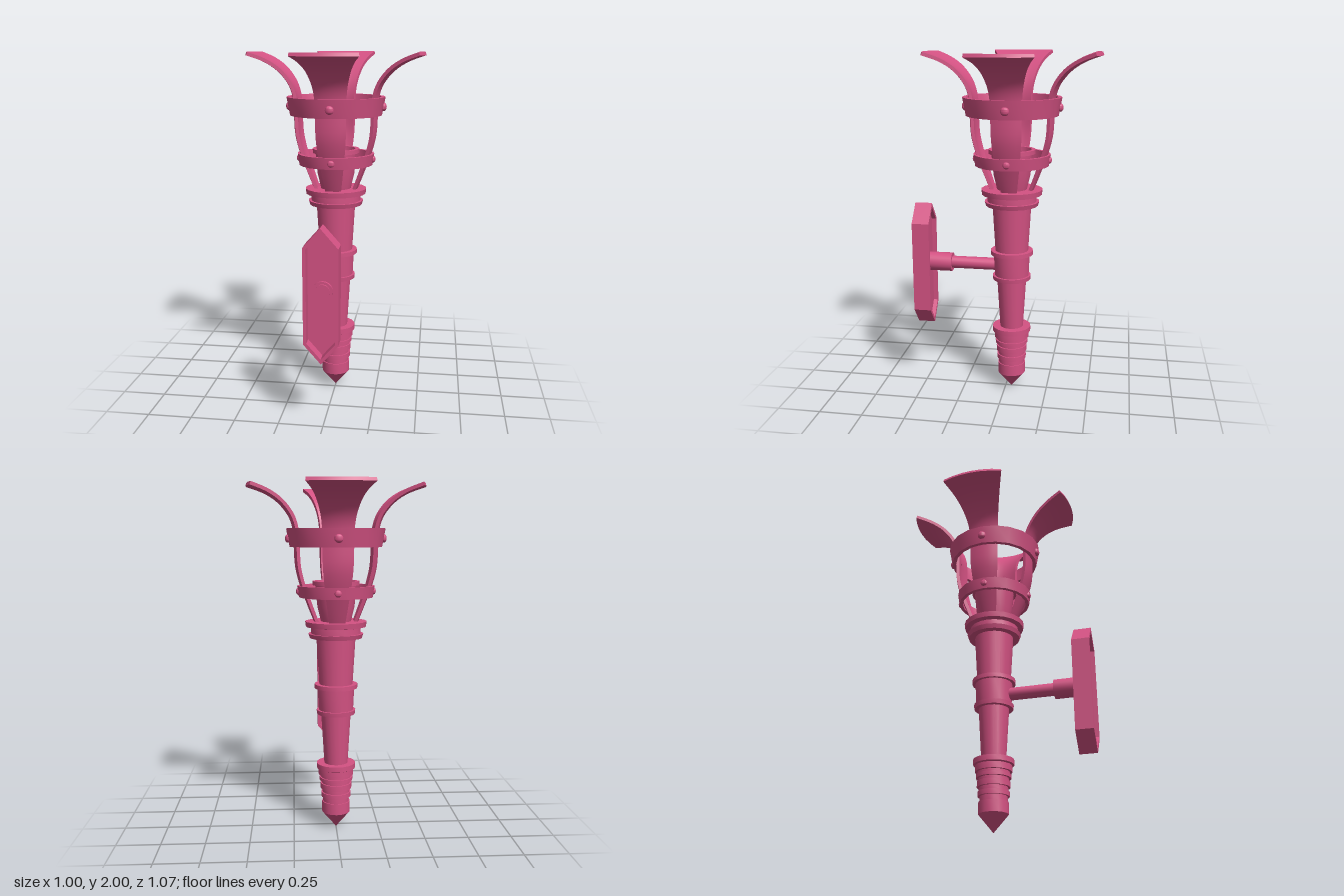
import * as THREE from 'three';
import { toCreasedNormals } from 'three/addons/utils/BufferGeometryUtils.js';

const material = new THREE.MeshStandardMaterial({ color: 0xd45283 });
const SIDES = 20;

function add(parent, name, geometry, x = 0, y = 0, z = 0) {
  const mesh = new THREE.Mesh(toCreasedNormals(geometry, 0.55), material);
  mesh.name = name;
  mesh.position.set(x, y, z);
  parent.add(mesh);
  return mesh;
}

// Turned part from [radius, height] pairs, listed bottom to top along the outside
function turned(points) {
  return new THREE.LatheGeometry(points.map(([r, y]) => new THREE.Vector2(r, y)), SIDES);
}

// Band around the axis with a rectangular, slightly leaning section
function band(rBottom, rTop, y0, y1, t) {
  return turned([[rBottom - t, y0], [rBottom, y0], [rTop, y1], [rTop - t, y1], [rBottom - t, y0]]);
}

// Cylinder lying along z
function rod(radius, z0, z1) {
  return new THREE.CylinderGeometry(radius, radius, z1 - z0, SIDES)
    .rotateX(Math.PI / 2).translate(0, 0, (z0 + z1) / 2);
}

// Low domed rivet head facing +z
function rivet(radius, height) {
  return new THREE.SphereGeometry(radius, 12, 8).scale(1, 1, height / radius);
}

// Flared petal: a box bent around the axis and along a side profile
function petalGeometry() {
  const profile = new THREE.CatmullRomCurve3([
    [0.112, 1.2], [0.133, 1.25], [0.176, 1.36], [0.205, 1.44], [0.23, 1.54], [0.237, 1.65],
    [0.241, 1.74], [0.261, 1.81], [0.297, 1.865], [0.345, 1.911], [0.412, 1.95], [0.499, 1.981],
  ].map(([r, y]) => new THREE.Vector3(r, y, 0)));
  const halfAngle = 0.365, thickness = 0.019;
  const geometry = new THREE.BoxGeometry(1, 1, 1, 6, 33, 1);
  const pos = geometry.attributes.position;
  for (let i = 0; i < pos.count; i++) {
    const u = pos.getY(i) + 0.5;
    const p = profile.getPoint(u), d = profile.getTangent(u);
    const offset = (pos.getZ(i) - 0.5) * thickness;
    const r = p.x + d.y * offset, y = p.y - d.x * offset;
    const angle = pos.getX(i) * 2 * halfAngle;
    pos.setXYZ(i, r * Math.sin(angle), y, r * Math.cos(angle));
  }
  geometry.computeVertexNormals();
  return geometry;
}

// Long hexagon with pointed ends
function pointedOutline(Type, w, shoulder, tip) {
  return new Type([[0, -tip], [w, -shoulder], [w, shoulder], [0, tip], [-w, shoulder], [-w, -shoulder]]
    .map(([x, y]) => new THREE.Vector2(x, y)));
}

export function createModel() {
  const group = new THREE.Group();
  const torch = new THREE.Group();
  torch.name = 'torch';
  torch.position.z = -0.035;
  group.add(torch);

  // Pointed foot with stepped ribs
  add(torch, 'foot', turned([
    [0, 0.002], [0.082, 0.1], [0.082, 0.165], [0.076, 0.165], [0.076, 0.195],
    [0.087, 0.195], [0.087, 0.222], [0.079, 0.222], [0.079, 0.245],
    [0.091, 0.245], [0.091, 0.278], [0.083, 0.278], [0.083, 0.295],
    [0.097, 0.295], [0.097, 0.315], [0.089, 0.315], [0.089, 0.33],
    [0.102, 0.33], [0.102, 0.365], [0.113, 0.37], [0.113, 0.4], [0.06, 0.4],
  ]));

  // Tapered shaft
  add(torch, 'shaft', turned([[0.068, 0.39], [0.113, 1.15]]));

  // Sleeve where the wall arm joins
  add(torch, 'sleeve', turned([
    [0.08, 0.695], [0.11, 0.695], [0.113, 0.72], [0.1, 0.72], [0.106, 0.848],
    [0.124, 0.848], [0.124, 0.872], [0.09, 0.872],
  ]));

  // Stepped collar under the petals
  add(torch, 'collar', turned([
    [0.1, 1.14], [0.15, 1.14], [0.158, 1.165], [0.142, 1.165], [0.142, 1.2],
    [0.172, 1.205], [0.176, 1.235], [0.07, 1.235],
  ]));

  // Open cup with a rim and a recessed floor
  add(torch, 'cup', turned([
    [0.085, 1.23], [0.106, 1.32], [0.118, 1.44], [0.134, 1.44], [0.134, 1.463],
    [0.112, 1.463], [0.098, 1.4], [0, 1.4],
  ]));

  // Hoops holding the petals
  add(torch, 'upperHoop', band(0.26, 0.279, 1.653, 1.755, 0.022));
  add(torch, 'lowerHoop', band(0.21, 0.22, 1.372, 1.437, 0.02));

  // Four petals, each riveted to both hoops
  const petal = petalGeometry();
  for (let i = 0; i < 4; i++) {
    const arm = new THREE.Group();
    arm.name = 'petalArm';
    arm.rotation.y = i * Math.PI / 2;
    torch.add(arm);
    add(arm, 'petal', petal);
    add(arm, 'upperRivet', rivet(0.024, 0.018), 0, 1.7, 0.268);
    add(arm, 'lowerRivet', rivet(0.02, 0.014), 0, 1.405, 0.213);
    add(arm, 'upperRivetEnd', rod(0.008, 0.216, 0.26), 0, 1.7, 0);
    add(arm, 'lowerRivetEnd', rod(0.008, 0.169, 0.205), 0, 1.405, 0);
  }

  // Wall plate: hexagonal frame around a deeply recessed panel
  const plate = new THREE.Group();
  plate.name = 'wallPlate';
  plate.position.set(-0.004, 0.761, 0);
  group.add(plate);
  const frame = pointedOutline(THREE.Shape, 0.094, 0.265, 0.372);
  frame.holes.push(pointedOutline(THREE.Path, 0.077, 0.258, 0.346));
  add(plate, 'plateFrame', new THREE.ExtrudeGeometry(frame, { depth: 0.1, bevelEnabled: false }), 0, 0, 0.44);
  const panel = pointedOutline(THREE.Shape, 0.08, 0.26, 0.35);
  add(plate, 'platePanel', new THREE.ExtrudeGeometry(panel, { depth: 0.014, bevelEnabled: false }), 0, 0, 0.464);

  // Arm from the plate to the shaft
  add(group, 'armSocket', rod(0.055, 0.32, 0.492), 0, 0.779, 0);
  add(group, 'armBoss', rod(0.041, 0.48, 0.5), 0, 0.779, 0);
  add(group, 'armRod', rod(0.036, 0.03, 0.34), 0, 0.779, 0);

  return group;
}
